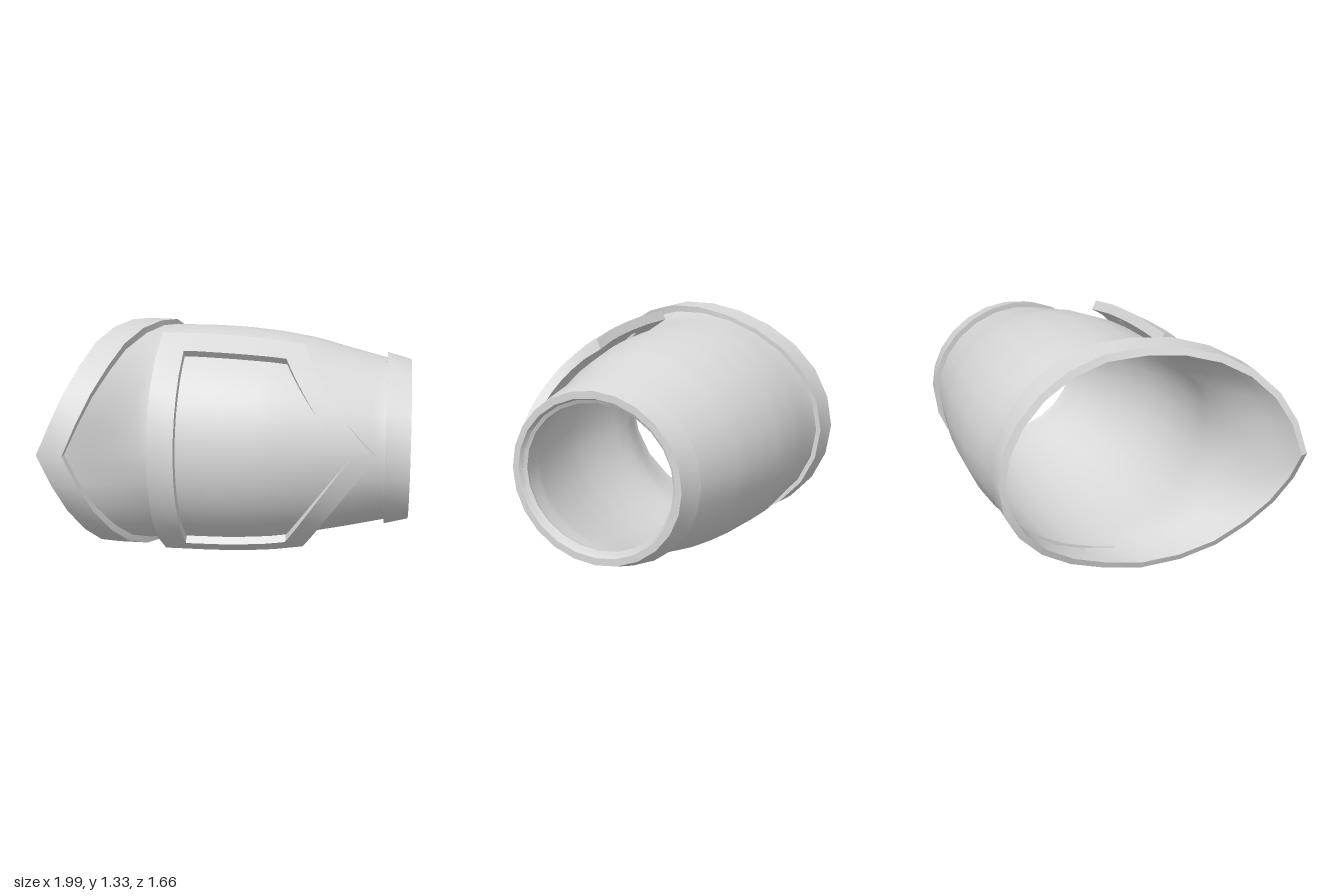
import * as THREE from 'three';
import { toCreasedNormals } from 'three/addons/utils/BufferGeometryUtils.js';

const SEG = 24;
const V = (x, y, z) => new THREE.Vector3(x, y, z);
const { lerp } = THREE.MathUtils;

// Piecewise linear lookup in a list of [key, value...] rows
function look(table, k, col = 1) {
  if (k <= table[0][0]) return table[0][col];
  for (let i = 1; i < table.length; i++) {
    const a = table[i - 1], b = table[i];
    if (k <= b[0]) return lerp(a[col], b[col], (k - a[0]) / (b[0] - a[0]));
  }
  return table[table.length - 1][col];
}

// Sleeve profile: x, front z, back z, top y, bottom y
const SLEEVE = [
  [-1, 0.80, -0.78, 1.28, 0.04],
  [-0.75, 0.66, -0.785, 1.285, 0.035],
  [-0.42, 0.548, -0.80, 1.285, 0.03],
  [-0.2, 0.543, -0.82, 1.285, 0.03],
  [0, 0.53, -0.83, 1.275, 0.033],
  [0.2, 0.50, -0.82, 1.255, 0.046],
  [0.4, 0.445, -0.80, 1.22, 0.07],
  [0.6, 0.38, -0.765, 1.165, 0.108],
  [0.85, 0.29, -0.72, 1.10, 0.16],
];

// Point on the sleeve; angle 0 faces the front, 90 degrees faces up
function sleevePoint(x, a, lift = 0) {
  const [f, b, t, u] = [1, 2, 3, 4].map((c) => look(SLEEVE, x, c));
  return V(x, (t + u) / 2 + ((t - u) / 2 + lift) * Math.sin(a),
    (f + b) / 2 + ((f - b) / 2 + lift) * Math.cos(a));
}

// Point on the raised front piece; s is the sine of the angle
function framePoint(x, s, lift) {
  const p = sleevePoint(x, Math.asin(s), lift);
  const k = Math.max(0, x) * (1 - Math.abs(s));
  p.y += 0.045 * k;
  p.z += 0.015 * k;
  return p;
}

// Swept opening edge: degrees from the front, x
const RIM = [[0, -0.98], [15, -0.91], [30, -0.85], [45, -0.795], [60, -0.755],
  [75, -0.705], [90, -0.655], [105, -0.61], [120, -0.605], [150, -0.63], [180, -0.64]];
// x across the band: k = 0 at the opening, 1 at the rear edge
function rimX(a, k) {
  const c = THREE.MathUtils.clamp(Math.cos(a), -1, 1);
  return look(RIM, THREE.MathUtils.radToDeg(Math.acos(c))) + k * (0.143 + 0.03 * (1 - c * c));
}
function rimPoint(a, k, inset) {
  const c = Math.cos(a);
  return V(rimX(a, k), 0.667 + (0.665 - inset) * Math.sin(a) + 0.04 * Math.max(0, c), (0.83 - inset) * c);
}

// Wrist ring, tilted so that the front reaches further
function cuffPoint(a, x, ry, rz) {
  const z = -0.228 + rz * Math.cos(a);
  return V(x + 0.075 * (z + 0.22), 0.632 + ry * Math.sin(a), z);
}

// Skin a grid of points
function skin(rows, crease = 0.6) {
  const n = rows[0].length, pos = [], idx = [];
  rows.forEach((r) => r.forEach((p) => pos.push(p.x, p.y, p.z)));
  for (let i = 0; i + 1 < rows.length; i++) {
    for (let j = 0; j + 1 < n; j++) {
      const a = i * n + j, b = a + 1, c = a + n, d = c + 1;
      idx.push(a, c, b, b, c, d);
    }
  }
  const g = new THREE.BufferGeometry();
  g.setAttribute('position', new THREE.Float32BufferAttribute(pos, 3));
  g.setIndex(idx);
  return toCreasedNormals(g, crease);
}

// A full ring of points around the arm
const ring = (fn) => Array.from({ length: SEG + 1 }, (_, i) => fn(((i % SEG) / SEG) * Math.PI * 2));

// Sleeve rows run from the swept rim to the wrist
function sleeveRows(k, inset, startLift, endLift, endX) {
  const rows = [], N = 28;
  for (let i = 0; i <= N; i++) {
    const t = i / N;
    const w = Math.max(0, 1 - t / 0.22) ** 2;
    rows.push(ring((a) => {
      const end = endX + 0.04 * Math.cos(a);
      const p = sleevePoint(lerp(rimX(a, k), end, t), a, lerp(startLift, endLift, t * t));
      const r = rimPoint(a, k, inset);
      p.y = lerp(p.y, r.y, w);
      p.z = lerp(p.z, r.z, w);
      return p;
    }));
  }
  return rows;
}

export function createModel() {
  const group = new THREE.Group();
  const metal = new THREE.MeshStandardMaterial({ color: 0xd8d8d8, side: THREE.DoubleSide });
  metal.name = 'grey metal';
  const add = (name, geometry) => {
    const m = new THREE.Mesh(geometry, metal);
    m.name = name;
    group.add(m);
  };

  // Sleeve outside, and a lining that runs smoothly into the wrist lip
  add('sleeve', skin(sleeveRows(0.8, 0.03, 0, 0, 0.86)));
  const lining = sleeveRows(-0.08, 0.04, -0.02, -0.062, 0.88);
  lining.push(ring((a) => cuffPoint(a, 0.925, 0.4, 0.44)));
  add('sleeveLining', skin(lining));

  // Pointed band around the wide opening: position across, inset
  const band = [[0.6, 0.04], [-0.08, 0.04], [0, 0], [1, 0.002], [1, 0.045]];
  add('elbowBand', skin(band.map(([k, inset]) => ring((a) => rimPoint(a, k, inset)))));

  // Wrist cuff: x, y radius, z radius
  const cuff = [[0.82, 0.44, 0.47], [0.82, 0.508, 0.536], [0.96, 0.47, 0.506],
    [0.96, 0.43, 0.47], [0.935, 0.42, 0.458], [0.925, 0.4, 0.44]];
  add('wristCuff', skin(cuff.map(([x, ry, rz]) => ring((a) => cuffPoint(a, x, ry, rz)))));

  // Raised frame on the front: corners as x and sine of the angle
  const outer = [[-0.42, -0.89], [-0.42, 0.89], [0.38, 0.89], [0.82, 0], [0.38, -0.89]];
  const inner = [[-0.27, -0.78], [-0.27, 0.78], [0.3, 0.78], [0.68, 0], [0.3, -0.78]];
  const path = (corners, lift) => {
    const pts = [], N = 10;
    corners.forEach((p, i) => {
      const q = corners[(i + 1) % corners.length];
      for (let k = 0; k < N; k++) {
        pts.push(framePoint(lerp(p[0], q[0], k / N), lerp(p[1], q[1], k / N), lift));
      }
    });
    pts.push(pts[0].clone());
    return pts;
  };
  add('frontFrame', skin([path(outer, 0.035), path(outer, 0.093), path(inner, 0.093),
    path(inner, 0.035), path(outer, 0.035)]));

  // Panel inside the frame, pointed toward the wrist
  const panel = [];
  for (let i = 0; i <= 20; i++) {
    const s = lerp(-0.79, 0.79, i / 20), right = 0.3 + 0.39 * (1 - Math.abs(s) / 0.79);
    panel.push(Array.from({ length: 13 }, (_, j) => framePoint(lerp(-0.28, right, j / 12), s, 0.047)));
  }
  add('frontPanel', skin(panel));

  return group;
}
